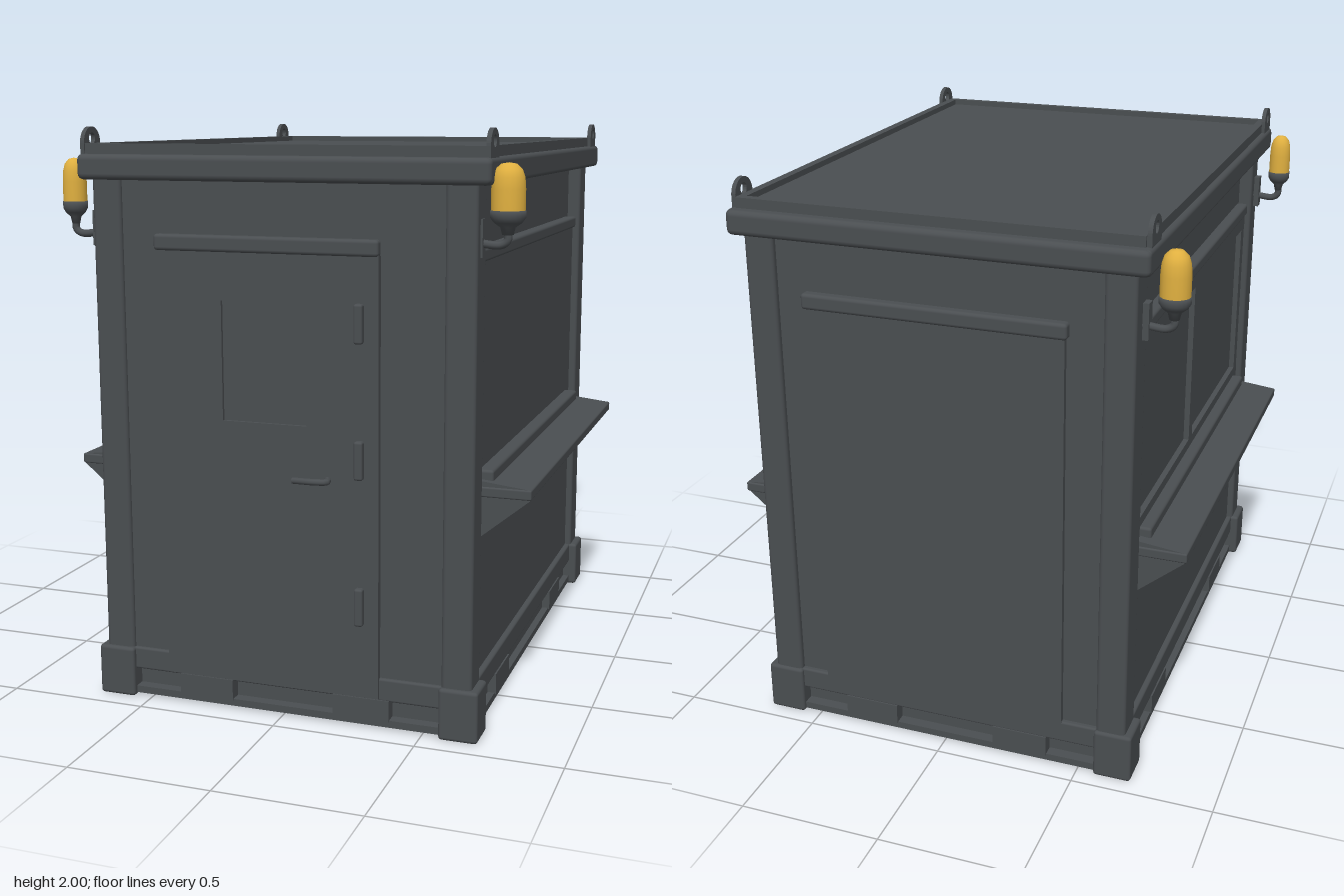
import * as THREE from 'three';
import { RoundedBoxGeometry } from 'three/addons/geometries/RoundedBoxGeometry.js';

export function createModel() {
  const root = new THREE.Group();
  const mat = (name, color) => {
    const m = new THREE.MeshStandardMaterial({ color });
    m.name = name;
    return m;
  };
  const steel = mat('dark grey steel', 0x4a4e51);
  const amber = mat('amber lamp', 0xe0b040);

  const add = (name, geo, x = 0, y = 0, z = 0, material = steel, parent = root) => {
    const mesh = new THREE.Mesh(geo, material);
    mesh.name = name;
    mesh.position.set(x, y, z);
    parent.add(mesh);
    return mesh;
  };
  // Box from its minimum and maximum corners; r rounds the edges
  const box = (name, x0, x1, y0, y1, z0, z1, r = 0) => {
    const w = x1 - x0, h = y1 - y0, d = z1 - z0;
    const geo = r ? new RoundedBoxGeometry(w, h, d, 2, r) : new THREE.BoxGeometry(w, h, d);
    return add(name, geo, (x0 + x1) / 2, (y0 + y1) / 2, (z0 + z1) / 2);
  };
  const tube = (points, r) => new THREE.TubeGeometry(
    new THREE.CatmullRomCurve3(points.map(p => new THREE.Vector3(...p))), 16, r, 8);

  // Cabin core and floor
  box('cabinCore', -0.62, 0.62, 0.1, 1.85, -0.9, 0.885);
  box('floor', -0.64, 0.64, 0.02, 0.1, -0.89, 0.87);

  // Corner posts and base castings
  for (const s of [-1, 1]) {
    for (const [z0, z1, b0, b1] of [[0.8, 0.915, 0.8, 0.93], [-0.935, -0.81, -0.945, -0.81]]) {
      const xs = [0.565 * s, 0.67 * s].sort((a, b) => a - b);
      box('cornerPost', ...xs, 0.15, 1.85, z0, z1, 0.015);
      const bs = [0.56 * s, 0.695 * s].sort((a, b) => a - b);
      box('cornerCasting', ...bs, 0, 0.18, b0, b1, 0.012);
    }
  }

  // Base rails with fork pockets
  for (const s of [-1, 1]) {
    const zc = s > 0 ? 0.89 : -0.91;
    box('endBaseRail', -0.57, 0.57, 0.1, 0.18, zc - 0.02, zc + 0.02, 0.008);
    box('endLowerRail', -0.57, 0.57, 0.01, 0.035, zc - 0.02, zc + 0.02);
    box('sideBaseRail', s * 0.645 - 0.02, s * 0.645 + 0.02, 0.1, 0.18, -0.82, 0.81, 0.008);
    box('sideLowerRail', s * 0.645 - 0.02, s * 0.645 + 0.02, 0.01, 0.035, -0.82, 0.81);
    for (const p of [-1, 1]) {
      box('endForkPocket', p * 0.285 - 0.1, p * 0.285 + 0.1, 0.03, 0.105, zc - 0.025, zc + 0.025);
      box('sideForkPocket', s * 0.645 - 0.025, s * 0.645 + 0.025, 0.03, 0.105, p * 0.465 - 0.1, p * 0.465 + 0.1);
    }
  }

  // Roof, edge rails and raised rim
  box('roofPanel', -0.69, 0.69, 1.83, 1.925, -0.93, 0.91);
  box('frontRoofRail', -0.715, 0.715, 1.825, 1.91, 0.86, 0.94, 0.02);
  box('backRoofRail', -0.715, 0.715, 1.825, 1.91, -0.97, -0.88, 0.02);
  for (const s of [-1, 1]) {
    box('sideRoofRail', s * 0.68 - 0.035, s * 0.68 + 0.035, 1.825, 1.91, -0.96, 0.93, 0.015);
    box('sideRoofRim', s * 0.68 - 0.015, s * 0.68 + 0.015, 1.9, 1.945, -0.92, 0.91);
  }
  box('frontRoofRim', -0.69, 0.69, 1.9, 1.945, 0.885, 0.91);
  box('backRoofRim', -0.69, 0.69, 1.9, 1.945, -0.93, -0.9);

  // Lifting lugs: rounded plates with an eye
  const lug = new THREE.Shape();
  lug.moveTo(-0.055, 0);
  lug.lineTo(0.055, 0);
  lug.lineTo(0.055, 0.045);
  lug.absarc(0, 0.045, 0.055, 0, Math.PI, false);
  lug.closePath();
  const eye = new THREE.Path();
  eye.absarc(0, 0.06, 0.02, 0, Math.PI * 2, true);
  lug.holes.push(eye);
  const lugGeo = new THREE.ExtrudeGeometry(lug, { depth: 0.015, bevelEnabled: false, curveSegments: 10 });
  lugGeo.translate(0, 0, -0.0075).rotateY(Math.PI / 2);
  for (const x of [-0.7, 0.7]) for (const z of [-0.87, 0.86]) add('liftingLug', lugGeo, x, 1.9, z);

  // Front wall and door
  box('frontWall', -0.57, 0.57, 0.17, 1.84, 0.87, 0.898);
  const door = new THREE.Shape();
  door.moveTo(-0.425, 0.11);
  door.lineTo(0.35, 0.11);
  door.lineTo(0.35, 1.6);
  door.lineTo(-0.425, 1.6);
  door.closePath();
  const pane = new THREE.Path();
  pane.moveTo(-0.2, 1.03);
  pane.lineTo(-0.2, 1.435);
  pane.lineTo(0.1, 1.435);
  pane.lineTo(0.1, 1.03);
  pane.closePath();
  door.holes.push(pane);
  add('door', new THREE.ExtrudeGeometry(door, { depth: 0.03, bevelEnabled: false }), 0, 0, 0.89);
  box('doorWindow', -0.2, 0.1, 1.03, 1.435, 0.9, 0.908);
  box('doorHood', -0.44, 0.35, 1.595, 1.65, 0.89, 0.93, 0.012);
  for (const y of [0.43, 0.93, 1.38]) box('doorHinge', 0.27, 0.3, y - 0.065, y + 0.065, 0.91, 0.942, 0.008);
  add('doorHandle', tube([[0.17, 0.855, 0.91], [0.18, 0.855, 0.95], [0.14, 0.855, 0.962],
    [0.06, 0.85, 0.945]], 0.011));

  // Back wall with shutter panel
  box('backWall', -0.57, 0.57, 0.17, 1.84, -0.912, -0.88);
  box('backPanel', -0.44, 0.46, 0.12, 1.6, -0.932, -0.9);
  box('backPanelHood', -0.45, 0.47, 1.59, 1.645, -0.945, -0.9, 0.012);

  // Side walls: lower panel, head bar, shelf and brackets
  const bracket = new THREE.Shape();
  bracket.moveTo(0, 0);
  bracket.lineTo(0.18, 0);
  bracket.lineTo(0.18, -0.012);
  bracket.lineTo(0, -0.16);
  bracket.closePath();
  const bracketGeo = new THREE.ExtrudeGeometry(bracket, { depth: 0.012, bevelEnabled: false });
  const sideParts = (s) => {
    const sideBox = (name, x0, x1, ...rest) =>
      box(name, Math.min(s * x0, s * x1), Math.max(s * x0, s * x1), ...rest);
    sideBox('lowerSidePanel', 0.6, 0.645, 0.17, 0.82, -0.82, 0.81);
    sideBox('headBar', 0.6, 0.66, 1.575, 1.62, -0.785, 0.79, 0.01);
    sideBox('shelf', 0.64, 0.825, 0.8, 0.835, -0.79, 0.77, 0.006);
    sideBox('shelfBackStrip', 0.62, 0.69, 0.83, 0.885, -0.745, 0.74, 0.01);
    const wedge = sideBox('shelfTop', 0.64, 0.82, 0.83, 0.855, -0.785, 0.765);
    const pos = wedge.geometry.attributes.position;
    for (let i = 0; i < pos.count; i++)
      if (pos.getX(i) * s > 0 && pos.getY(i) > 0) pos.setY(i, -0.008);
    wedge.geometry.computeVertexNormals();
    for (const z of [-0.78, 0.75]) {
      const m = add('shelfBracket', bracketGeo, s * 0.64, 0.81, s > 0 ? z : z + 0.012);
      if (s < 0) m.rotation.y = Math.PI;
    }
  };
  sideParts(1);
  sideParts(-1);
  box('closedShutter', 0.6, 0.642, 0.82, 1.6, -0.82, 0.81);

  // Service window on the other side
  box('windowPane', -0.63, -0.622, 0.82, 1.6, -0.82, 0.81);
  box('windowSill', -0.65, -0.61, 0.86, 0.92, -0.8, 0.79);
  box('windowHead', -0.65, -0.61, 1.52, 1.58, -0.8, 0.79);
  for (const z of [-0.77, -0.04, 0.76]) box('windowMullion', -0.65, -0.61, 0.88, 1.56, z - 0.025, z + 0.025);

  // Corner lamps: amber dome, cup and curved bracket pipe
  const lathe = (pts) => new THREE.LatheGeometry(pts.map(p => new THREE.Vector2(...p)), 20);
  const dome = lathe([[0.054, 0], [0.054, 0.07], [0.051, 0.105], [0.042, 0.13], [0.024, 0.146], [0, 0.15]]);
  const cup = lathe([[0, -0.075], [0.018, -0.073], [0.024, -0.05], [0.045, -0.035], [0.056, -0.02], [0.056, 0.003], [0, 0.003]]);
  for (const [s, z, w] of [[1, 0.86, 1], [-1, 0.855, 0.75], [-1, -0.86, 0.9]]) {
    const lamp = new THREE.Group();
    lamp.name = 'cornerLamp';
    lamp.position.set(s * (s > 0 ? 0.752 : 0.768), 1.745, z);
    add('lampDome', dome, 0, 0, 0, amber, lamp).scale.set(w, 1, w);
    add('lampCup', cup, 0, 0, 0, steel, lamp).scale.set(w, 1, w);
    add('lampPipe', tube([[0, -0.06, 0], [0, -0.09, 0], [-s * 0.02, -0.105, 0], [-s * 0.1, -0.1, 0]], 0.013),
      0, 0, 0, steel, lamp);
    add('lampMount', new THREE.BoxGeometry(0.02, 0.12, 0.04), -s * 0.085, -0.085, 0, steel, lamp);
    root.add(lamp);
  }
  return root;
}
